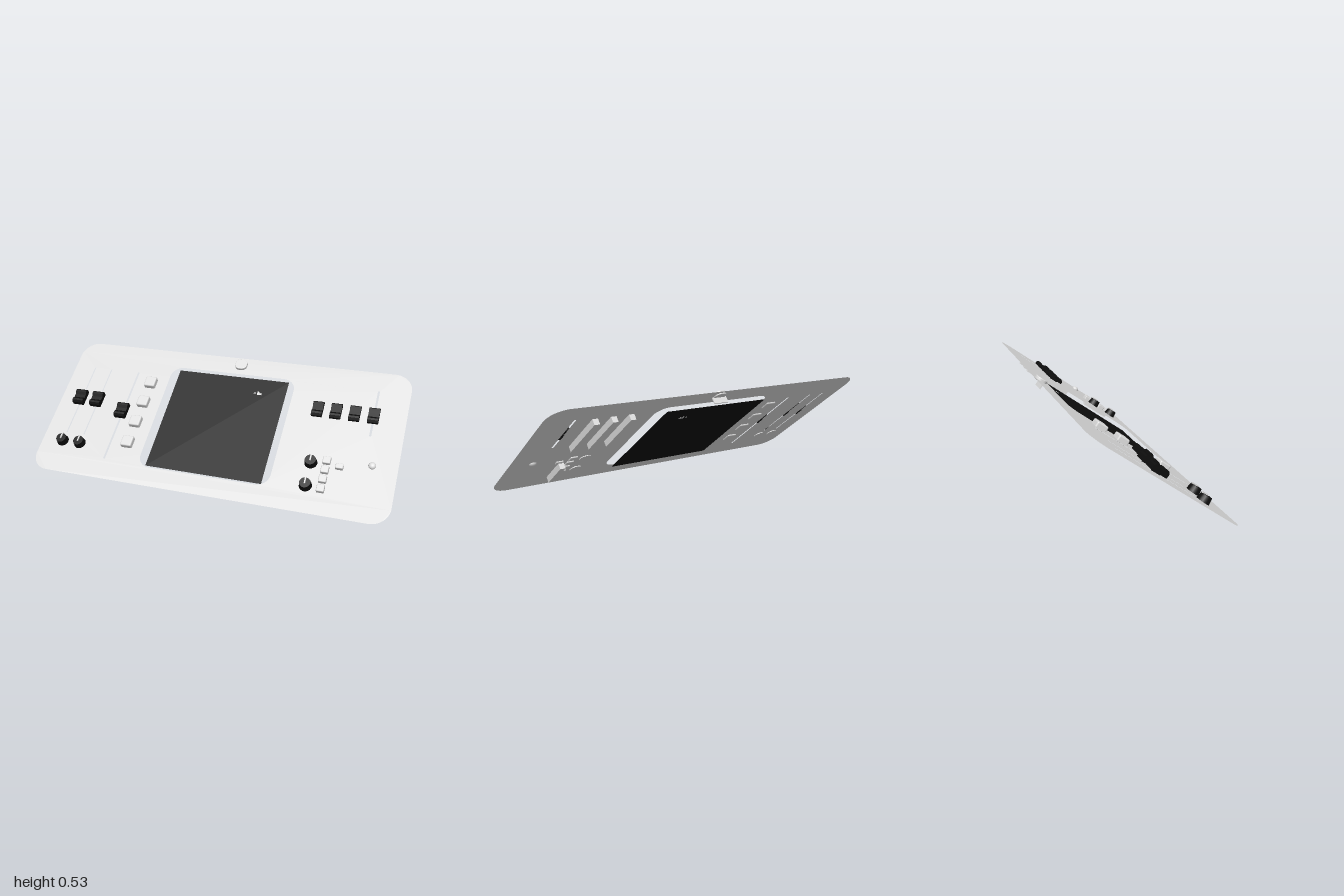
import * as THREE from 'three';
import { RoundedBoxGeometry } from 'three/addons/geometries/RoundedBoxGeometry.js';

const material = (name, color) => {
  const m = new THREE.MeshStandardMaterial({ color, side: THREE.DoubleSide });
  m.name = name;
  return m;
};

// Rounded rectangle outline centred on (x, y)
function roundedRect(path, x, y, w, h, r) {
  const a = w / 2 - r, b = h / 2 - r;
  path.moveTo(x + w / 2, y - b);
  path.absarc(x + a, y + b, r, 0, Math.PI / 2);
  path.absarc(x - a, y + b, r, Math.PI / 2, Math.PI);
  path.absarc(x - a, y - b, r, Math.PI, Math.PI * 1.5);
  path.absarc(x + a, y - b, r, Math.PI * 1.5, Math.PI * 2);
  path.closePath();
  return path;
}

export function createModel() {
  const grey = material('light grey', 0xdcdcdc);
  const black = material('black', 0x0d0d0d);

  // The panel is laid out flat (x across, y up the slope, z out of it), then tilted
  const panel = new THREE.Group();
  panel.name = 'controlPanel';
  const add = (name, geometry, mat, x = 0, y = 0, z = 0, parent = panel) => {
    const mesh = new THREE.Mesh(geometry, mat);
    mesh.name = name;
    mesh.position.set(x, y, z);
    parent.add(mesh);
    return mesh;
  };
  const box = (w, h, d) => new THREE.BoxGeometry(w, h, d);

  // Sheet with the screen opening and fader slots
  const sheet = roundedRect(new THREE.Shape(), 0, 0, 2, 0.904, 0.1);
  sheet.holes.push(roundedRect(new THREE.Path(), -0.003, 0, 0.745, 0.68, 0.07));
  const slots = [[-0.87, -0.2, 0.27, 0.007], [-0.76, -0.2, 0.27, 0.007], [-0.58, -0.33, 0.27, 0.011], [0.83, 0.04, 0.33, 0.011]];
  for (const [x, y0, y1, w] of slots) {
    sheet.holes.push(roundedRect(new THREE.Path(), x, (y0 + y1) / 2, w, y1 - y0, w * 0.4));
  }
  add('faceplate', new THREE.ShapeGeometry(sheet, 8), grey);

  // Screen set slightly behind the opening
  add('screen', new THREE.PlaneGeometry(0.662, 0.655), black, -0.004, 0.005, -0.019);
  for (const [x, y, w, h] of [[0.15, 0.235, 0.012, 0.007], [0.17, 0.236, 0.012, 0.022], [0.184, 0.232, 0.014, 0.012]]) {
    add('screenMarker', box(w, h, 0.002), grey, x, y, -0.019);
  }

  // Fader caps: raised ends and a finger dip, extruded across x
  const turn = new THREE.Matrix4().makeBasis(
    new THREE.Vector3(0, 1, 0), new THREE.Vector3(0, 0, 1), new THREE.Vector3(1, 0, 0));
  function faderCap(x, y, width, top) {
    const profile = new THREE.Shape([
      [-0.045, 0.006], [0.045, 0.006], [0.046, top - 0.01], [0.036, top], [0.024, top],
      [0.01, top - 0.01], [-0.01, top - 0.01], [-0.024, top], [-0.036, top], [-0.046, top - 0.01],
    ].map(([a, b]) => new THREE.Vector2(a, b)));
    const geometry = new THREE.ExtrudeGeometry(profile, { depth: width, bevelEnabled: false });
    geometry.translate(0, 0, -width / 2).applyMatrix4(turn);
    add('faderCap', geometry, black, x, y);
    add('faderStem', box(0.006, 0.05, 0.014), black, x, y, 0.002);
  }
  faderCap(-0.87, 0.037, 0.066, 0.04);
  faderCap(-0.76, 0.037, 0.066, 0.04);
  faderCap(-0.58, -0.016, 0.066, 0.04);
  for (const x of [0.53, 0.63, 0.73, 0.83]) faderCap(x, 0.16, 0.058, 0.03);

  // Fader housings behind the sheet
  for (const x of [0.53, 0.63, 0.73]) add('faderHousing', box(0.03, 0.29, 0.031), grey, x, 0.187, -0.0225);
  add('lowerHousing', box(0.03, 0.173, 0.033), grey, 0.7, -0.256, -0.0215);

  // Rotary knobs with a pointer towards the top
  for (const [x, y] of [[-0.87, -0.258], [-0.76, -0.258], [0.56, -0.165], [0.56, -0.3]]) {
    const knob = new THREE.Group();
    knob.name = 'knob';
    knob.position.set(x, y, 0);
    panel.add(knob);
    add('knobBody', new THREE.CylinderGeometry(0.029, 0.034, 0.034, 20).rotateX(Math.PI / 2), black, 0, 0, 0.018, knob);
    add('knobPointer', box(0.007, 0.036, 0.008), grey, 0, 0.012, 0.037, knob);
    add('knobBase', new THREE.CylinderGeometry(0.034, 0.034, 0.004, 24).rotateX(Math.PI / 2), grey, 0, 0, -0.002, knob);
  }

  // Square buttons, left column
  for (let i = 0; i < 4; i++) {
    add('squareButton', new RoundedBoxGeometry(0.066, 0.066, 0.036, 3, 0.008), grey, -0.475, 0.203 - i * 0.137, 0.01);
  }
  // Small buttons on the right
  for (let i = 0; i < 4; i++) {
    add('smallButton', new RoundedBoxGeometry(0.041, 0.041, 0.028, 3, 0.005), grey, 0.64, -0.143 - i * 0.055, 0.007);
  }
  add('sideButton', new RoundedBoxGeometry(0.04, 0.03, 0.028, 3, 0.005), grey, 0.71, -0.168, 0.007);
  const dome = new THREE.SphereGeometry(0.02, 20, 12);
  add('roundButton', dome, grey, 0.87, -0.132, 0.003).scale.z = 0.8;

  // Home button above the screen with its backing tab
  const home = new THREE.ExtrudeGeometry(roundedRect(new THREE.Shape(), 0, 0, 0.062, 0.06, 0.025), {
    depth: 0.014, bevelSize: 0.004, bevelThickness: 0.004, bevelSegments: 3, curveSegments: 8,
  });
  add('homeButton', home, grey, 0.03, 0.403, -0.002);
  add('homeButtonTab', box(0.09, 0.006, 0.034), grey, 0.03, 0.396, -0.02);

  // Tilt the panel back on its lower edge
  panel.rotation.x = -THREE.MathUtils.degToRad(54);
  panel.position.y = 0.266;
  const model = new THREE.Group();
  model.name = 'model';
  model.add(panel);
  return model;
}
